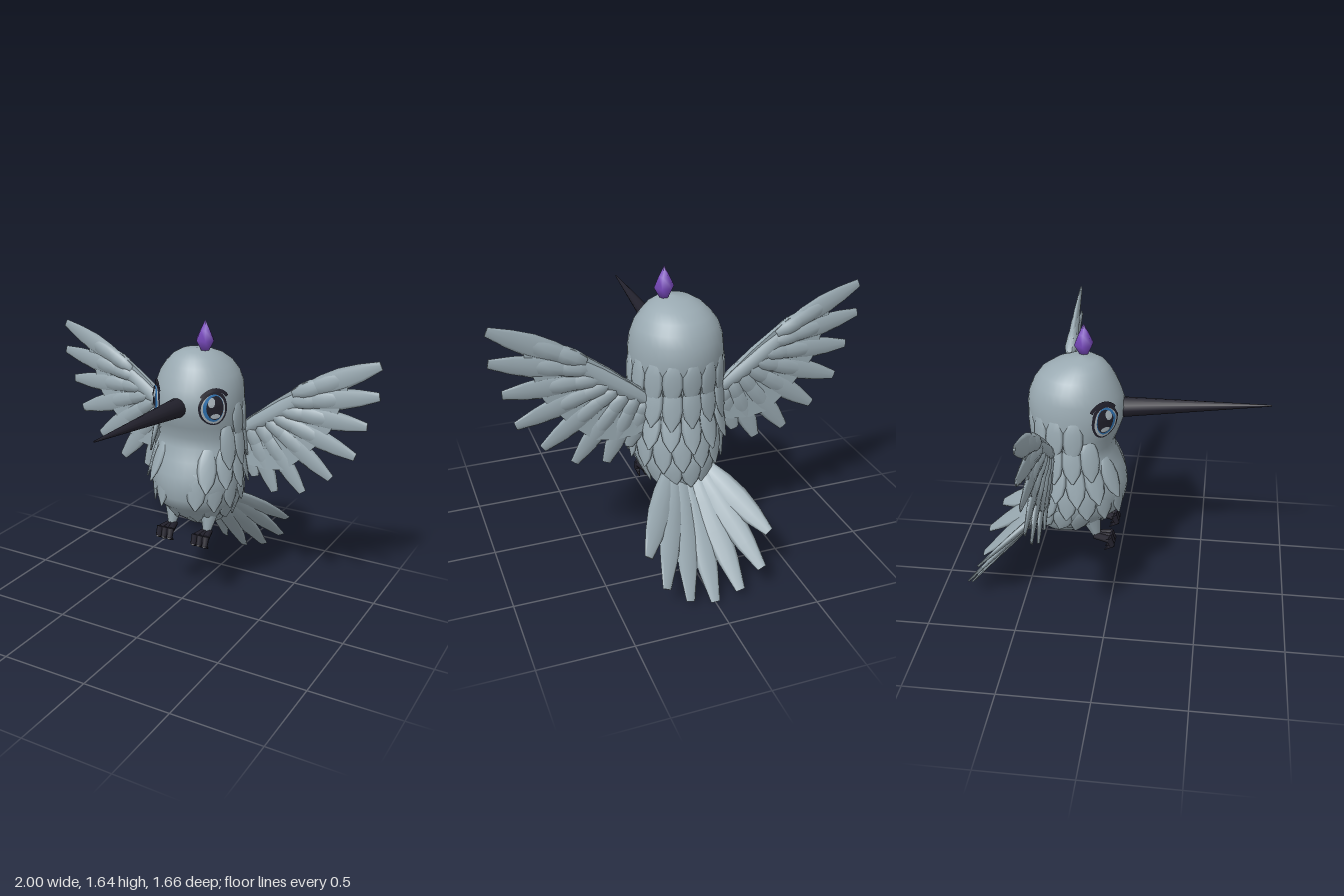
import * as THREE from 'three';
import { mergeGeometries, mergeVertices } from 'three/addons/utils/BufferGeometryUtils.js';

const V = (x, y, z) => new THREE.Vector3(x, y, z);
const material = (name, color) => {
  const m = new THREE.MeshStandardMaterial({ color });
  m.name = name;
  return m;
};

// Body cross-sections: height, centre z, half width, half depth
const PROFILE = [
  [0.41, -0.3, 0, 0], [0.415, -0.3, 0.06, 0.07], [0.44, -0.28, 0.11, 0.13],
  [0.5, -0.25, 0.17, 0.185], [0.6, -0.2, 0.23, 0.25], [0.66, -0.195, 0.25, 0.262],
  [0.73, -0.19, 0.262, 0.267], [0.8, -0.19, 0.262, 0.258], [0.88, -0.195, 0.252, 0.235],
  [0.95, -0.205, 0.24, 0.215], [1.01, -0.21, 0.236, 0.215], [1.08, -0.205, 0.245, 0.238],
  [1.15, -0.2, 0.25, 0.257], [1.22, -0.2, 0.25, 0.264], [1.29, -0.205, 0.242, 0.248],
  [1.35, -0.205, 0.222, 0.222], [1.4, -0.2, 0.186, 0.19], [1.44, -0.185, 0.145, 0.145],
  [1.47, -0.17, 0.09, 0.085], [1.48, -0.165, 0, 0],
];

// Point on the body at an angle from the front, pushed out by off
function onBody(angle, y, off = 0) {
  let i = 1;
  while (i < PROFILE.length - 1 && PROFILE[i][0] < y) i++;
  const a = PROFILE[i - 1], b = PROFILE[i];
  const t = THREE.MathUtils.clamp((y - a[0]) / (b[0] - a[0]), 0, 1);
  const [zc, rx, rz] = [1, 2, 3].map((k) => a[k] + (b[k] - a[k]) * t);
  return V((rx + off) * Math.sin(angle), y, zc + (rz + off) * Math.cos(angle));
}

function mapVertices(geo, rule) {
  const p = geo.attributes.position;
  for (let i = 0; i < p.count; i++) {
    const v = rule(p.getX(i), p.getY(i), p.getZ(i));
    p.setXYZ(i, v.x, v.y, v.z);
  }
  geo.computeVertexNormals();
  return geo;
}

function weld(geo) {
  geo.deleteAttribute('uv');
  geo.deleteAttribute('normal');
  return mergeVertices(geo, 1e-5);
}

// Flattened feather from a to b; side is its width direction
function feather(a, b, side, width, thick, tip = 0.35) {
  const along = b.clone().sub(a);
  const dir = along.clone().normalize();
  const x = side.clone().addScaledVector(dir, -side.dot(dir)).normalize();
  const z = x.clone().cross(dir);
  const widths = [0.6, 0.92, 1, 0.78, tip];
  const thicks = [0.7, 1, 0.9, 0.6, 0.3];
  return mapVertices(weld(new THREE.CylinderGeometry(1, 1, 1, 8, 4)), (px, py, pz) => {
    const t = py + 0.5, k = Math.round(t * 4);
    return a.clone().addScaledVector(along, t)
      .addScaledVector(x, px * width * widths[k])
      .addScaledVector(z, pz * thick * thicks[k]);
  });
}

// Round tapered limb between two points
function limb(a, b, r0, r1, sides = 8) {
  const geo = new THREE.CylinderGeometry(r1, r0, a.distanceTo(b), sides);
  const q = new THREE.Quaternion().setFromUnitVectors(V(0, 1, 0), b.clone().sub(a).normalize());
  geo.applyQuaternion(q);
  const mid = a.clone().lerp(b, 0.5);
  return geo.translate(mid.x, mid.y, mid.z);
}

export function createModel() {
  const grey = material('plumage grey', 0x9aaab2);
  const black = material('charcoal', 0x22212c);
  const purple = material('crest purple', 0x7a4bbf);
  const blue = material('iris blue', 0x2f72b0);
  const pale = material('eye grey', 0xa9b4bb);

  const model = new THREE.Group();
  model.name = 'bird';
  const add = (name, geo, mat) => {
    const mesh = new THREE.Mesh(geo, mat);
    mesh.name = name;
    model.add(mesh);
  };

  // Head and body in one smooth skin
  const skin = weld(new THREE.LatheGeometry(PROFILE.map((p) => new THREE.Vector2(1, p[0])), 36));
  add('body', mapVertices(skin, (x, y, z) => onBody(Math.atan2(x, z), y)), grey);

  // Rows of tufts, leaving the breast smooth: top, bottom, first angle, count, flare
  const tufts = [];
  const rows = [
    [1.2, 0.97, 1.5, 9, 0.02], [1.08, 0.84, 1.15, 11, 0.025], [0.95, 0.71, 0.65, 13, 0.03],
    [0.82, 0.59, 0.45, 14, 0.025], [0.67, 0.48, 0.35, 13, 0.02],
  ];
  for (const [top, bottom, first, count, flare] of rows) {
    for (let i = 0; i < count; i++) {
      const angle = first + (i / (count - 1)) * (2 * Math.PI - 2 * first);
      const low = bottom + 0.025 * Math.sin(i * 2.3 + top * 9) ** 2;
      const side = V(Math.cos(angle), 0, -Math.sin(angle));
      tufts.push(feather(onBody(angle, top, -0.01), onBody(angle, low, flare), side, 0.055, 0.016, 0.1));
    }
  }
  add('bodyFeathers', mergeGeometries(tufts), grey);

  // Long needle beak
  add('beak', limb(V(0, 1.193, 0), V(0, 1.25, 0.835), 0.058, 0.004, 12), black);

  // Crest jewel
  const crest = new THREE.LatheGeometry(
    [[0, 1.47], [0.025, 1.475], [0.055, 1.53], [0.03, 1.585], [0, 1.643]].map((p) => new THREE.Vector2(...p)), 6);
  crest.rotateY(Math.PI / 6).translate(0.05, 0, -0.165);
  add('crest', crest, purple);

  for (const s of [1, -1]) {
    const label = s > 0 ? 'left' : 'right';

    // Eye layers laid on the curved head
    const patch = (name, mat, cu, cv, ru, rv, off, shape = new THREE.RingGeometry(0, 1, 28, 4)) =>
      add(label + name, mapVertices(shape, (x, y) =>
        onBody(s * 0.81 + (s * cu + ru * x) / 0.255, 1.2 + cv + rv * y, off)), mat);
    patch('EyeOutline', black, 0, 0, 0.083, 0.096, 0.003);
    patch('EyeWhite', pale, 0, -0.005, 0.069, 0.082, 0.005);
    patch('Iris', blue, 0, 0.002, 0.058, 0.076, 0.007);
    patch('Pupil', black, 0.008, 0.004, 0.048, 0.066, 0.009);
    patch('EyeGlint', pale, -0.012, 0.035, 0.019, 0.027, 0.011);
    patch('EyeLowGlint', pale, 0.008, -0.042, 0.026, 0.014, 0.011);
    patch('Brow', black, 0.005, 0.005, 0.098, 0.1, 0.006,
      new THREE.RingGeometry(0.86, 1.04, 20, 1, Math.PI * 0.2, Math.PI * 0.6));

    // Wing panel, thinning towards the tip
    const outline = [
      [0.15, 0.98], [0.26, 1.08], [0.39, 1.19], [0.58, 1.33], [0.7, 1.37], [0.83, 1.42], [0.82, 1.32],
      [0.78, 1.2], [0.74, 1.08], [0.66, 0.98], [0.59, 0.9], [0.49, 0.81], [0.38, 0.79], [0.27, 0.8], [0.15, 0.84],
    ].map(([x, y]) => new THREE.Vector2(s * x, y));
    const panel = new THREE.ExtrudeGeometry(new THREE.Shape(outline), { depth: 1, bevelEnabled: false });
    mapVertices(panel, (x, y, z) => V(x, y, -0.32 + (z - 0.5) * (0.044 - 0.036 * Math.abs(x))));
    add(label + 'WingPanel', panel, grey);

    // Flight feathers with two shorter rows over them
    const quills = [
      [0.58, 1.28, 0.99, 1.475], [0.56, 1.22, 0.995, 1.31], [0.5, 1.15, 0.94, 1.135], [0.45, 1.1, 0.885, 0.955],
      [0.4, 1.06, 0.755, 0.805], [0.34, 1.02, 0.595, 0.69], [0.28, 0.99, 0.425, 0.66], [0.22, 0.96, 0.3, 0.73],
    ];
    const wing = [feather(V(s * 0.16, 0.96, -0.32), V(s * 0.76, 1.375, -0.32), V(-s, 1, 0), 0.055, 0.04)];
    for (const [x0, y0, x1, y1] of quills) {
      const a = V(s * x0, y0, -0.32), b = V(s * x1, y1, -0.32);
      const side = V(-(b.y - a.y), b.x - a.x, 0);
      wing.push(feather(a, b, side, 0.06, 0.02, 0.4));
      wing.push(feather(a, a.clone().lerp(b, 0.66), side, 0.052, 0.029, 0.2));
      wing.push(feather(a.clone().lerp(b, -0.15), a.clone().lerp(b, 0.38), side, 0.05, 0.038, 0.25));
    }
    add(label + 'WingFeathers', mergeGeometries(wing), grey);

    // Leg and three hooked toes
    add(label + 'Leg', limb(V(s * 0.115, 0.56, -0.12), V(s * 0.115, 0.43, -0.085), 0.06, 0.022), grey);
    const toes = [];
    for (const i of [-1, 0, 1]) {
      const at = (spread, y, z) => V(s * 0.115 + i * spread, y, z);
      toes.push(limb(at(0.012, 0.432, -0.095), at(0.034, 0.425, -0.01), 0.02, 0.021, 6));
      toes.push(limb(at(0.034, 0.437, -0.012), at(0.036, 0.385, 0.008), 0.021, 0.017, 6));
      toes.push(limb(at(0.036, 0.392, 0.01), at(0.036, 0.355, -0.035), 0.017, 0.003, 6));
    }
    add(label + 'Foot', mergeGeometries(toes), black);
  }

  // Cupped tail fan
  const tips = [[0, 0.01, -0.825], [0.14, 0.05, -0.825], [0.265, 0.15, -0.81], [0.335, 0.31, -0.73]];
  const tail = [];
  for (let i = -3; i <= 3; i++) {
    const n = Math.abs(i), s = Math.sign(i);
    const [x, y, z] = tips[n];
    const side = [V(1, 0, 0), V(1, s * 0.4, 0), V(1, s * 0.9, s * 0.3), V(0.7, s * 1.1, s * 0.6)][n];
    tail.push(feather(V(i * 0.035, 0.53 + n * 0.012, -0.39), V(s * x, y, z), side, 0.07, 0.02, 0.36));
  }
  add('tail', mergeGeometries(tail), grey);

  return model;
}
